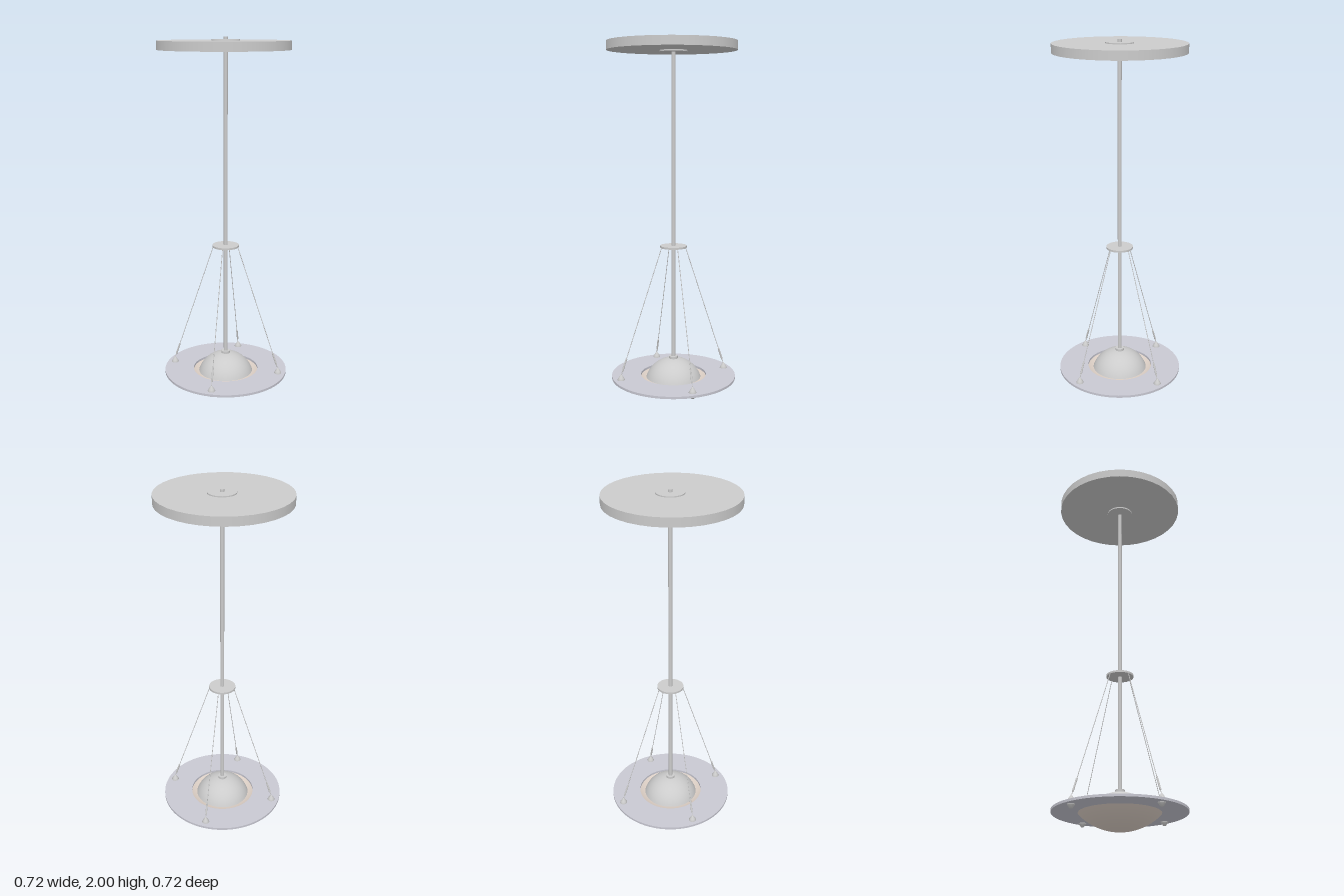
import * as THREE from 'three';

const material = (color = 0xcccccc, side = THREE.FrontSide) =>
  new THREE.MeshStandardMaterial({ color, side });

function addMesh(parent, name, geometry, mat) {
  const mesh = new THREE.Mesh(geometry, mat);
  mesh.name = name;
  parent.add(mesh);
  return mesh;
}

// Upright cylinder between two heights
function disc(parent, name, r, y0, y1, mat, segments = 36) {
  const mesh = addMesh(parent, name, new THREE.CylinderGeometry(r, r, y1 - y0, segments), mat);
  mesh.position.y = (y0 + y1) / 2;
  return mesh;
}

// Straight round bar between two points
function bar(parent, name, a, b, r, mat, segments = 8) {
  const mesh = addMesh(parent, name, new THREE.CylinderGeometry(r, r, a.distanceTo(b), segments), mat);
  mesh.position.copy(a).lerp(b, 0.5);
  mesh.quaternion.setFromUnitVectors(new THREE.Vector3(0, 1, 0), b.clone().sub(a).normalize());
  return mesh;
}

// Spherical cap profile from the pole (y = yPole) to a rim of radius r (y = yRim)
function capProfile(r, yPole, yRim, steps = 16) {
  const h = Math.abs(yRim - yPole), R = (r * r + h * h) / (2 * h);
  const end = Math.atan2(r, R - h), s = Math.sign(yRim - yPole);
  return Array.from({ length: steps + 1 }, (_, i) => {
    const t = (end * i) / steps;
    return new THREE.Vector2(R * Math.sin(t), yPole + s * R * (1 - Math.cos(t)));
  });
}

export function createModel() {
  const model = new THREE.Group();
  model.name = 'pendantLamp';
  const grey = material();
  const shell = material(0xcccccc, THREE.DoubleSide);
  const glass = material(0xddd0c6, THREE.DoubleSide);
  const ringMat = material(0xc8c8d2);

  // Ceiling canopy, slightly off the rod axis
  disc(model, 'canopy', 0.358, 1.932, 1.98, grey).position.x = -0.004;

  // Everything else shares the rod axis
  const lamp = new THREE.Group();
  lamp.name = 'lamp';
  lamp.position.set(0.004, 0, -0.006);
  model.add(lamp);

  disc(lamp, 'canopyPlate', 0.075, 1.924, 1.986, grey);
  disc(lamp, 'rod', 0.011, 0.19, 2, grey, 20);
  disc(lamp, 'cableDisc', 0.075, 0.845, 0.856, grey);
  disc(lamp, 'domeCollar', 0.025, 0.19, 0.212, grey, 24);

  // Flat ring with a round opening
  const outline = new THREE.Shape().absarc(0, 0, 0.354, 0, Math.PI * 2);
  outline.holes.push(new THREE.Path().absarc(0, 0, 0.187, 0, Math.PI * 2, true));
  const ringGeometry = new THREE.ExtrudeGeometry(outline, { depth: 0.013, bevelEnabled: false, curveSegments: 48 });
  ringGeometry.rotateX(-Math.PI / 2);
  addMesh(lamp, 'ring', ringGeometry, ringMat).position.y = 0.091;

  // Bowl below the ring and reflector dome above it
  addMesh(lamp, 'bowl', new THREE.LatheGeometry(capProfile(0.216, 0, 0.091), 48), glass);
  addMesh(lamp, 'dome', new THREE.LatheGeometry(capProfile(0.156, 0.2, 0.09), 48), shell);

  // Four cables with sleeves and pointed finials through the ring
  const finialProfile = [
    [0, 0.068], [0.008, 0.071], [0.018, 0.085], [0.021, 0.091], [0.021, 0.106],
    [0.016, 0.116], [0.007, 0.13], [0.003, 0.136], [0, 0.137],
  ].map(([x, y]) => new THREE.Vector2(x, y));
  for (let i = 0; i < 4; i++) {
    const stay = new THREE.Group();
    stay.name = 'cableStay';
    stay.rotation.y = (i * Math.PI) / 2;
    lamp.add(stay);
    const top = new THREE.Vector3(0.07, 0.848, 0);
    const bottom = new THREE.Vector3(0.312, 0.13, 0);
    const along = (t) => top.clone().lerp(bottom, t);
    bar(stay, 'cable', top, bottom, 0.002, grey, 6);
    bar(stay, 'cableSleeve', along(0.87), along(0.965), 0.005, grey, 10);
    addMesh(stay, 'finial', new THREE.LatheGeometry(finialProfile, 16), grey).position.x = 0.312;
  }
  return model;
}
